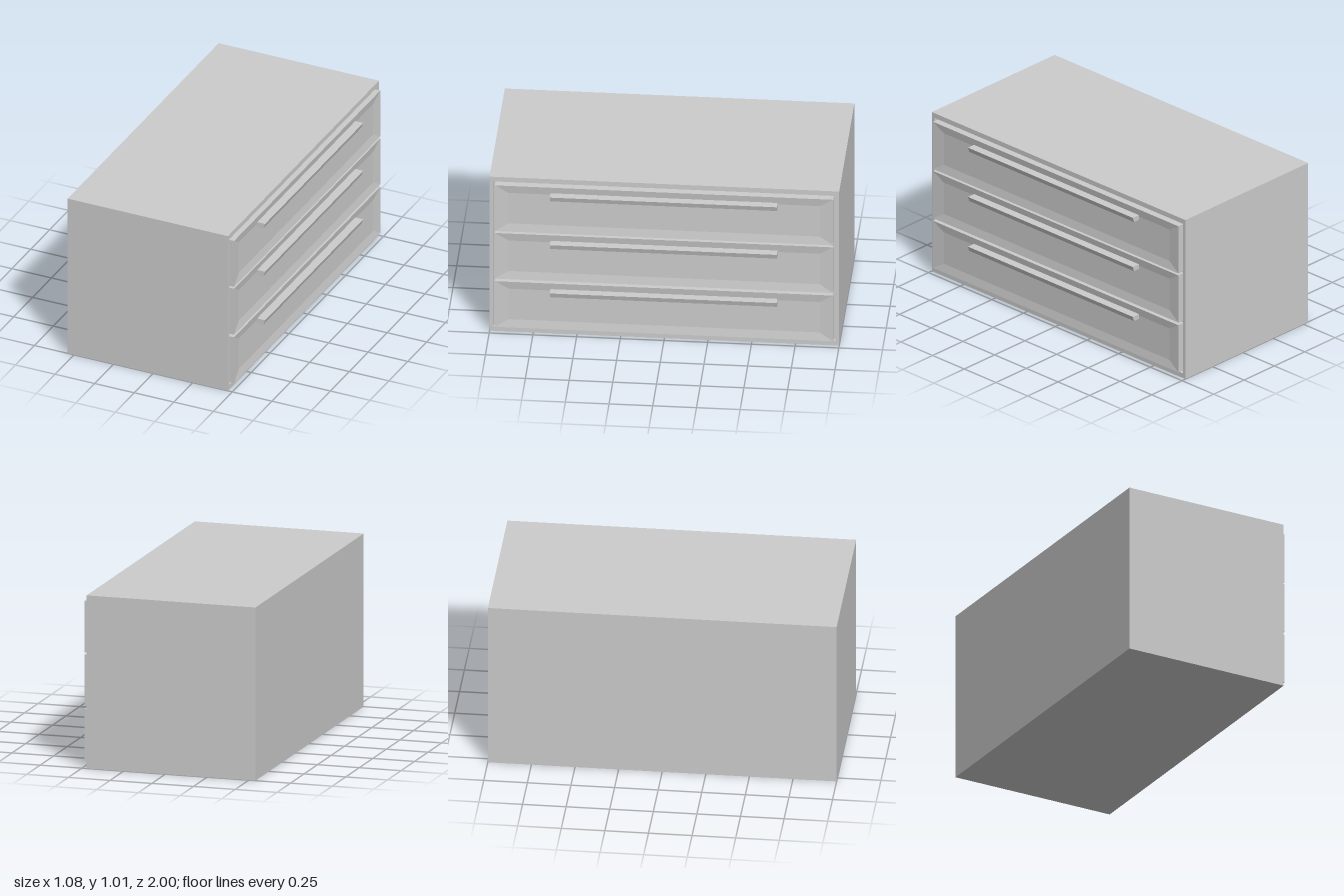
import * as THREE from 'three';

const material = new THREE.MeshStandardMaterial({ color: 0xcccccc });

// Rectangle in the y-z plane at x, counter-clockwise seen from +x
const ring = (x, y0, y1, z) => [[x, y0, z], [x, y0, -z], [x, y1, -z], [x, y1, z]];

// Closed solid through successive rectangles, capped at both ends, flat faces
function loft(rings) {
  const positions = [];
  const quad = (a, b, c, d) => positions.push(...a, ...b, ...c, ...a, ...c, ...d);
  const first = rings[0], last = rings[rings.length - 1];
  quad(first[3], first[2], first[1], first[0]);
  for (let r = 0; r < rings.length - 1; r++) {
    for (let i = 0; i < 4; i++) {
      const j = (i + 1) % 4;
      quad(rings[r][i], rings[r][j], rings[r + 1][j], rings[r + 1][i]);
    }
  }
  quad(...last);
  const geometry = new THREE.BufferGeometry();
  geometry.setAttribute('position', new THREE.Float32BufferAttribute(positions, 3));
  geometry.computeVertexNormals();
  return geometry;
}

function part(name, geometry) {
  const mesh = new THREE.Mesh(geometry, material);
  mesh.name = name;
  return mesh;
}

// Bar handle with a slanted front edge
function handleGeometry(y) {
  const profile = new THREE.Shape([
    new THREE.Vector2(0.48, y - 0.03),
    new THREE.Vector2(0.53, y - 0.03),
    new THREE.Vector2(0.54, y),
    new THREE.Vector2(0.48, y),
  ]);
  return new THREE.ExtrudeGeometry(profile, { depth: 1.3, bevelEnabled: false })
    .translate(0, 0, -0.65);
}

export function createModel() {
  const model = new THREE.Group();
  model.name = 'chestOfDrawers';

  // Cabinet with a shallow opening on its drawer side
  model.add(part('cabinet', loft([
    ring(-0.54, 0, 1.012, 1),
    ring(0.472, 0, 1.012, 1),
    ring(0.472, 0.03, 0.982, 0.98),
    ring(0.45, 0.03, 0.982, 0.98),
  ])));

  // Three drawers: slightly dished front and a long handle
  for (const [bottom, top] of [[0.04, 0.34], [0.357, 0.657], [0.67, 0.97]]) {
    const drawer = new THREE.Group();
    drawer.name = 'drawer';
    drawer.add(part('drawerFront', loft([
      ring(0.45, bottom, top, 0.968),
      ring(0.496, bottom, top, 0.968),
      ring(0.488, bottom + 0.05, top - 0.05, 0.89),
    ])));
    drawer.add(part('handle', handleGeometry(top - 0.04)));
    model.add(drawer);
  }
  return model;
}
